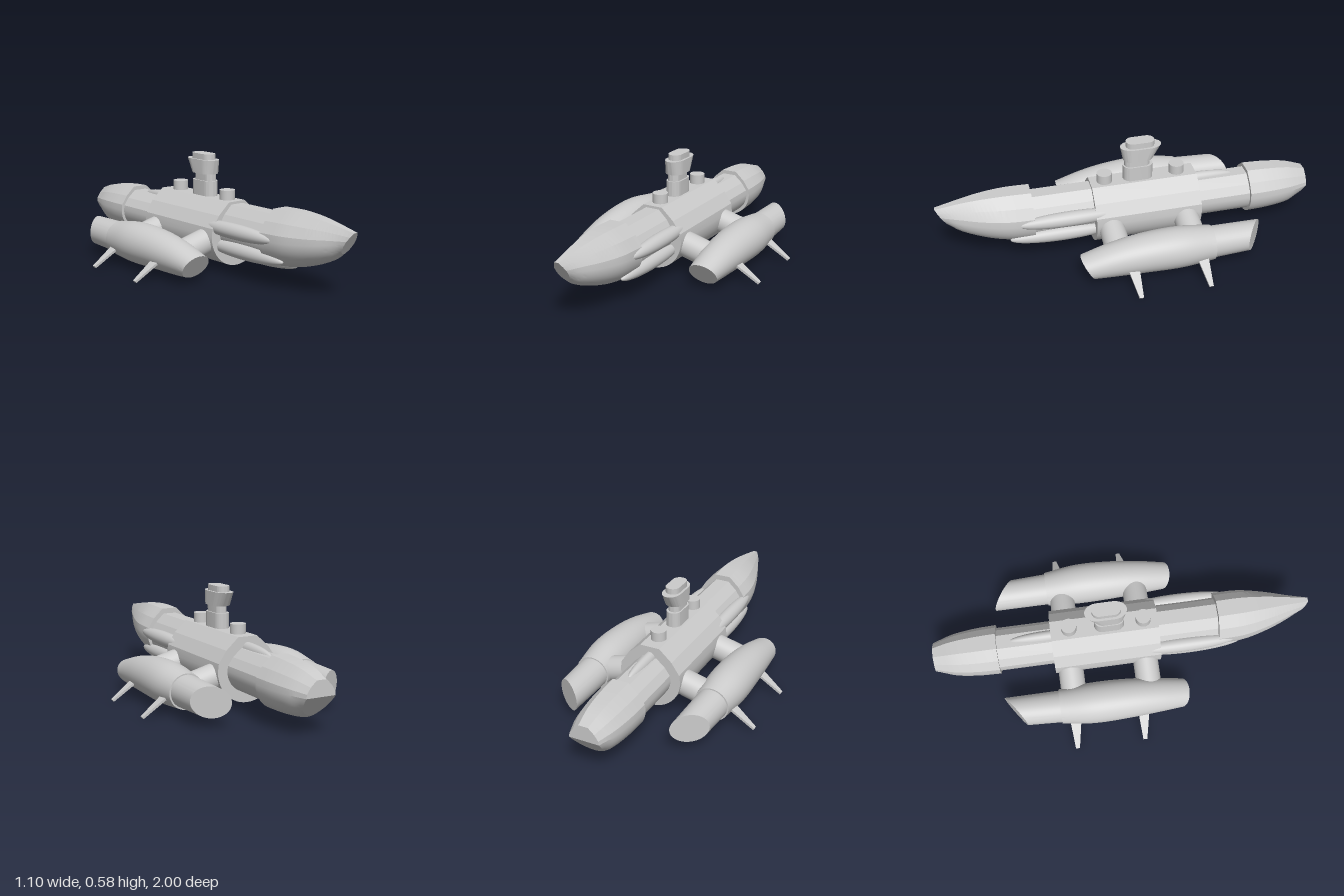
import * as THREE from 'three';
import { toCreasedNormals } from 'three/addons/utils/BufferGeometryUtils.js';

const material = new THREE.MeshStandardMaterial({ color: 0xcccccc });

// Unit cross-sections, counter-clockwise seen from the front
const circle = [];
for (let i = 0; i < 48; i++) circle.push([Math.cos(i * Math.PI / 24), Math.sin(i * Math.PI / 24)]);
const hullProfile = [[0.97, 0.25], [0.72, 0.63], [0.32, 1], [-0.32, 1], [-0.72, 0.63], [-0.97, 0.25]];
for (let i = 0; i <= 24; i++) {
  const a = Math.PI * (1 + i / 24);
  hullProfile.push([Math.cos(a), Math.sin(a)]);
}

// Loft along z. Keys run back to front: [z, centreX, centreY, bottom, top, halfWidth, tiltY, tiltX, tiltBelow]
function loft(profile, keys, steps = 1) {
  const width = 9;
  const rows = keys.map(k => Array.from({ length: width }, (_, i) => k[i] || 0));
  const curve = new THREE.CubicInterpolant(rows.map(r => r[0]), rows.flat(), width, new Float32Array(width));
  const n = profile.length, count = (keys.length - 1) * steps;
  const pos = [], index = [];
  for (let s = 0; s <= count; s++) {
    const k = Math.min(Math.floor(s / steps), keys.length - 2);
    const t = THREE.MathUtils.lerp(rows[k][0], rows[k + 1][0], s / steps - k);
    const [z, cx, cy, bottom, top, w, tiltY, tiltX, below] = Array.from(curve.evaluate(t));
    for (const [px, py] of profile) {
      pos.push(cx + px * w, cy + py * (py > 0 ? top - cy : cy - bottom),
        z + py * tiltY + px * tiltX + Math.max(0, -py) * below);
    }
    // centre point of each ring, used only by the end caps
    pos.push(cx, cy, z);
  }
  const m = n + 1, last = count * m;
  for (let i = 0; i < n; i++) {
    const j = (i + 1) % n;
    for (let s = 0; s < count; s++) {
      const a = s * m, b = a + m;
      index.push(a + i, a + j, b + j, a + i, b + j, b + i);
    }
    index.push(n, j, i, last + n, last + i, last + j);
  }
  const g = new THREE.BufferGeometry();
  g.setAttribute('position', new THREE.Float32BufferAttribute(pos, 3));
  g.setIndex(index);
  return toCreasedNormals(g, 0.23);
}

// Upright block with rounded ends; back and front z may differ between bottom and top
function towerBlock(y0, y1, w, [back0, front0], [back1, front1] = [back0, front0]) {
  const len = front0 - back0, h = len / 2 - w;
  const shape = new THREE.Shape();
  shape.absarc(0, h, w, 0, Math.PI, false);
  shape.absarc(0, -h, w, Math.PI, 2 * Math.PI, false);
  const g = new THREE.ExtrudeGeometry(shape, { depth: y1 - y0, bevelEnabled: false, curveSegments: 16 });
  g.rotateX(-Math.PI / 2);
  const p = g.attributes.position;
  for (let i = 0; i < p.count; i++) {
    const t = p.getZ(i) / len + 0.5, top = p.getY(i) > (y1 - y0) / 2;
    p.setZ(i, top ? THREE.MathUtils.lerp(back1, front1, t) : THREE.MathUtils.lerp(back0, front0, t));
  }
  g.translate(0, y0, 0);
  return toCreasedNormals(g, 0.5);
}

export function createModel() {
  const model = new THREE.Group();
  const add = (name, geometry, parent = model) => {
    const mesh = new THREE.Mesh(geometry, material);
    mesh.name = name;
    parent.add(mesh);
    return mesh;
  };
  const ellipsoid = (name, x, y, z, rx, ry, rz) => {
    const mesh = add(name, new THREE.SphereGeometry(1, 32, 24).rotateX(Math.PI / 2));
    mesh.position.set(x, y, z);
    mesh.scale.set(rx, ry, rz);
  };

  // Main hull, nose to tail
  add('nose', loft(hullProfile, [
    [0.51, 0, 0.24, 0.095, 0.381, 0.137],
    [0.65, 0, 0.245, 0.112, 0.384, 0.132],
    [0.78, 0, 0.255, 0.148, 0.376, 0.102],
    [0.88, 0, 0.27, 0.192, 0.362, 0.068],
    [0.965, 0, 0.285, 0.23, 0.34, 0.034, 0.035],
  ], 6));
  add('forwardHull', loft(hullProfile, [
    [0.15, 0, 0.23, 0.1, 0.352, 0.117], [0.53, 0, 0.23, 0.105, 0.352, 0.117]]));
  add('centreHull', loft(hullProfile, [
    [-0.37, 0, 0.2, 0.03, 0.365, 0.168], [0.195, 0, 0.2, 0.03, 0.365, 0.168]]));
  add('aftHull', loft(hullProfile, [
    [-0.7, 0, 0.2, 0.085, 0.308, 0.115], [-0.33, 0, 0.2, 0.085, 0.308, 0.115]]));
  add('tail', loft(hullProfile, [
    [-1, 0, 0.2, 0.1, 0.278, 0.078, 0, 0, 0.08],
    [-0.9, 0, 0.2, 0.083, 0.308, 0.109, 0, 0, 0.01],
    [-0.78, 0, 0.2, 0.07, 0.323, 0.126],
    [-0.66, 0, 0.2, 0.066, 0.329, 0.131],
  ], 5));
  ellipsoid('aftSpine', 0, 0.3, -0.38, 0.03, 0.037, 0.21);

  // Torpedo-shaped pods around the lower forward hull
  ellipsoid('lowerPod', 0, 0.112, 0.36, 0.04, 0.04, 0.28);
  for (const s of [1, -1]) {
    ellipsoid('upperSidePod', s * 0.123, 0.245, 0.32, 0.04, 0.04, 0.28);
    ellipsoid('lowerSidePod', s * 0.1, 0.146, 0.36, 0.04, 0.04, 0.28);
  }

  // Conning tower and deck hatches
  const tower = new THREE.Group();
  tower.name = 'tower';
  model.add(tower);
  add('towerBase', towerBlock(0.35, 0.445, 0.04, [-0.14, 0.018]), tower);
  add('towerNeck', towerBlock(0.44, 0.49, 0.032, [-0.125, 0.01]), tower);
  add('towerHead', towerBlock(0.482, 0.556, 0.049, [-0.14, 0.018], [-0.185, 0.032]), tower);
  add('towerCap', towerBlock(0.55, 0.586, 0.037, [-0.148, 0.002]), tower);
  for (const z of [0.118, -0.272]) {
    add('hatch', new THREE.CylinderGeometry(0.04, 0.04, 0.07, 32)).position.set(0, 0.38, z);
  }

  // Side nacelles with nozzles, struts and fins
  for (const s of [1, -1]) {
    const side = new THREE.Group();
    side.name = s > 0 ? 'leftNacelle' : 'rightNacelle';
    model.add(side);
    add('nacelleBody', loft(circle, [
      [-0.37, s * 0.34, 0.125, 0.035, 0.215, 0.092],
      [-0.2, s * 0.345, 0.131, 0.024, 0.238, 0.108],
      [0, s * 0.345, 0.129, 0.027, 0.23, 0.104],
      [0.17, s * 0.345, 0.115, 0.03, 0.2, 0.09],
      [0.285, s * 0.345, 0.095, 0.035, 0.155, 0.077, 0.036],
    ], 6), side);
    add('nozzle', loft(circle, [
      [-0.605, s * 0.335, 0.126, 0.05, 0.202, 0.08, 0, -s * -0.055 * s * s],
      [-0.35, s * 0.34, 0.126, 0.043, 0.209, 0.085],
    ]), side);

    for (const z of [0.113, -0.29]) {
      const strut = add('strut', new THREE.CylinderGeometry(0.067, 0.067, 0.22, 40), side);
      strut.position.set(s * 0.175, 0.155, z);
      strut.rotation.z = s * (Math.PI / 2 - 0.26);
    }

    // Thin tapered fins angled down and outward
    for (const z of [0.04, -0.325]) {
      const outline = new THREE.Shape([[0, -0.003], [0.158, 0.007], [0.158, 0.028], [0, 0.056]]
        .map(([x, y]) => new THREE.Vector2(x, y)));
      const g = new THREE.ExtrudeGeometry(outline, { depth: 0.012, bevelEnabled: false });
      g.translate(0, 0, -0.006).rotateX(Math.PI / 2);
      const fin = add('fin', g, side);
      fin.position.set(s * 0.418, 0.098, z);
      fin.rotation.z = s > 0 ? -0.606 : Math.PI + 0.606;
    }
  }
  return model;
}
